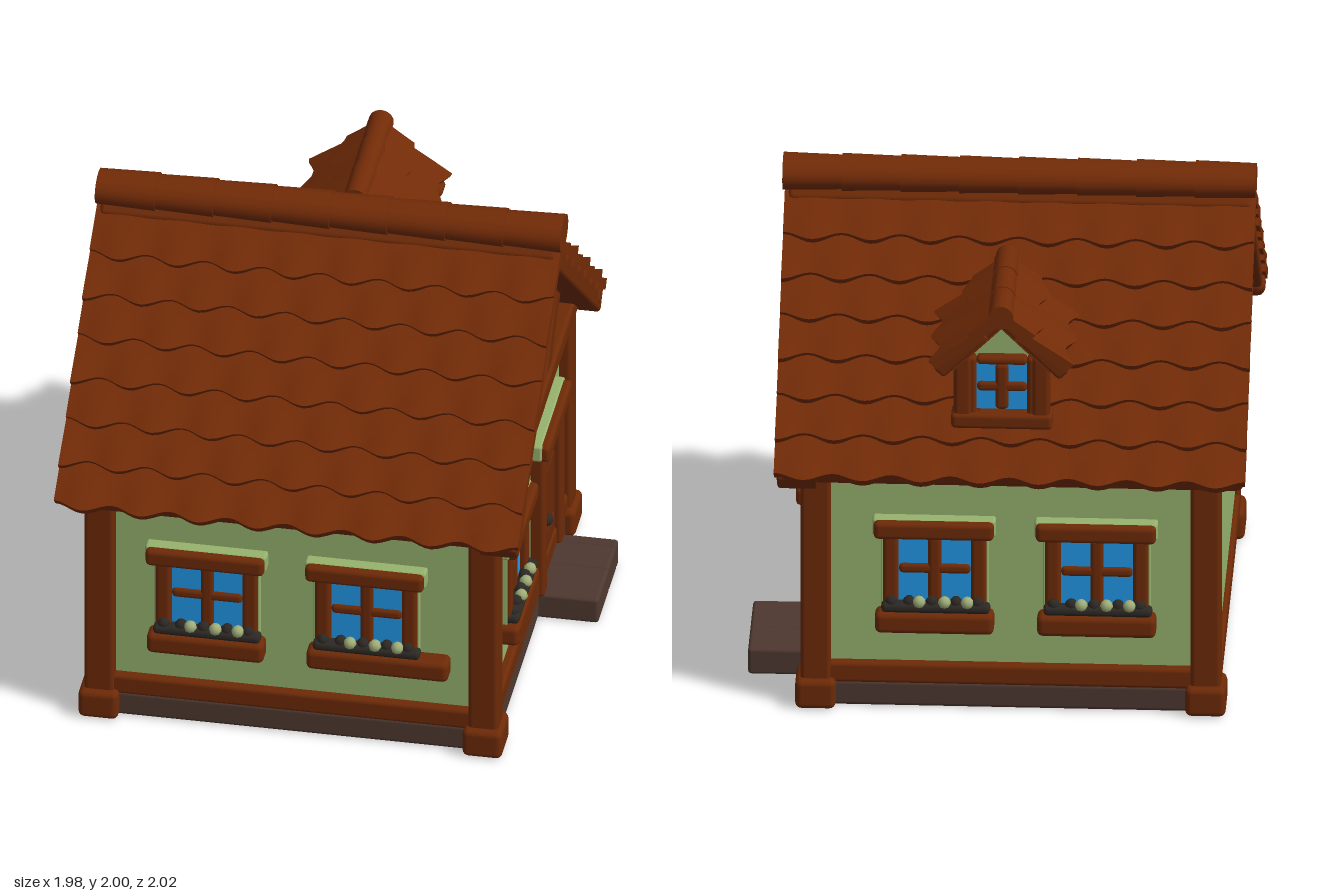
import * as THREE from 'three';
import { toCreasedNormals } from 'three/addons/utils/BufferGeometryUtils.js';
import { RoundedBoxGeometry } from 'three/addons/geometries/RoundedBoxGeometry.js';

const mat = (name, color) => {
  const m = new THREE.MeshStandardMaterial({ color });
  m.name = name;
  return m;
};

export function createModel() {
  const roofTile = mat('roof tile', 0x722b07);
  const wood = mat('timber', 0x6d2a07);
  const doorWood = mat('door wood', 0x682808);
  const plaster = mat('green plaster', 0x96b26e);
  const stone = mat('stone', 0x4e3830);
  const glass = mat('glass', 0x239ef0);
  const dark = mat('dark leaves and iron', 0x2c2824);
  const pale = mat('pale blossom', 0xa0ae78);

  const house = new THREE.Group();
  house.name = 'cottage';

  const add = (parent, name, geo, material, x = 0, y = 0, z = 0) => {
    const m = new THREE.Mesh(geo, material);
    m.name = name;
    m.position.set(x, y, z);
    parent.add(m);
    return m;
  };
  const group = (parent, name, x = 0, y = 0, z = 0, ry = 0) => {
    const g = new THREE.Group();
    g.name = name;
    g.position.set(x, y, z);
    g.rotation.y = ry;
    parent.add(g);
    return g;
  };
  // Softly rounded block given by its limits on each axis
  const block = (parent, name, material, x0, x1, y0, y1, z0, z1, r = 0.018) => {
    const s = [x1 - x0, y1 - y0, z1 - z0];
    const geo = new RoundedBoxGeometry(...s, 2, Math.min(r, Math.min(...s) * 0.45));
    return add(parent, name, geo, material, (x0 + x1) / 2, (y0 + y1) / 2, (z0 + z1) / 2);
  };
  // Beam between two points in the local xy plane
  const beam = (parent, name, a, b, width, z0, z1) => {
    const len = Math.hypot(b[0] - a[0], b[1] - a[1]);
    const m = add(parent, name, new RoundedBoxGeometry(len, width, z1 - z0, 2, 0.016), wood,
      (a[0] + b[0]) / 2, (a[1] + b[1]) / 2, (z0 + z1) / 2);
    m.rotation.z = Math.atan2(b[1] - a[1], b[0] - a[0]);
    return m;
  };
  // Lintel with a plastered back that shows at its ends
  const lintel = (parent, name, x0, x1, y0, y1) => {
    block(parent, name, wood, x0, x1, y0, y1, 0.03, 0.08, 0.02);
    block(parent, name + 'Back', plaster, x0 - 0.006, x1 + 0.006, y0 + 0.005, y1 + 0.004, -0.01, 0.05, 0.012);
  };
  const prism = (pts, depth) => new THREE.ExtrudeGeometry(
    new THREE.Shape(pts.map(p => new THREE.Vector2(...p))), { depth, bevelEnabled: false });

  // Walls and footing
  const walls = add(house, 'walls', prism(
    [[-0.81, 0.05], [0.81, 0.05], [0.81, 1.08], [0, 1.8], [-0.81, 1.08]], 1.59), plaster, -0.87);
  walls.rotation.y = Math.PI / 2;
  block(house, 'foundation', stone, -0.88, 0.75, 0, 0.11, -0.84, 0.84);

  // Corner posts with blocks at their feet
  for (const x of [-0.83, 0.71]) for (const z of [-0.8, 0.8]) {
    block(house, 'cornerPost', wood, x - 0.06, x + 0.06, 0.08, 1.08, z - 0.06, z + 0.06);
    block(house, 'postFoot', wood, x - 0.08, x + 0.08, 0, 0.125, z - 0.09, z + 0.09, 0.025);
  }
  // Sill beams and wall plates
  for (const z of [-0.81, 0.81]) {
    block(house, 'sillBeam', wood, -0.83, 0.71, 0.1, 0.19, z - 0.035, z + 0.035);
    block(house, 'wallPlate', wood, -0.87, 0.75, 0.98, 1.07, z - 0.04, z + 0.04);
  }
  for (const x of [-0.86, 0.725]) block(house, 'sillBeam', wood, x - 0.03, x + 0.03, 0.1, 0.19, -0.8, 0.8);

  // Panes, frame and crossing bars around the local origin
  const casement = (g, w, h, bar) => {
    add(g, 'glass', new THREE.BoxGeometry(w, h, 0.008), glass, 0, 0, 0.016);
    for (const s of [-1, 1]) {
      const x = s * (w / 2 + bar / 2), y = s * (h / 2 + bar / 2);
      block(g, 'frameSide', wood, x - bar / 2, x + bar / 2, -h / 2 - bar, h / 2 + bar, -0.01, 0.05);
      block(g, 'frameRail', wood, -w / 2, w / 2, y - bar / 2, y + bar / 2, -0.01, 0.045);
    }
    block(g, 'mullion', wood, -0.027, 0.027, -h / 2, h / 2, -0.01, 0.035);
    block(g, 'crossbar', wood, -w / 2, w / 2, -0.022, 0.022, -0.01, 0.033);
  };

  // Ground floor window with lintel, sill and flowers
  const addWindow = (x, z, ry, sillExtra = 0) => {
    const g = group(house, 'window', x, 0.605, z, ry);
    casement(g, 0.285, 0.285, 0.063);
    lintel(g, 'lintel', -0.24, 0.235, 0.145, 0.22);
    for (const s of [-0.207, 0.207])
      block(g, 'frameEdge', plaster, s - 0.005, s + 0.005, -0.18, 0.15, -0.01, 0.035, 0.004);
    block(g, 'windowSill', wood, -0.235, 0.235 + sillExtra, -0.265, -0.175, -0.01, 0.085, 0.024);
    block(g, 'leaves', dark, -0.21, 0.22, -0.175, -0.135, 0.02, 0.08);
    [-0.17, -0.1, -0.01, 0.085, 0.17].forEach(fx => {
      add(g, 'leafTuft', new THREE.SphereGeometry(0.025, 8, 6), dark, fx, -0.133, 0.05);
    });
    [-0.06, 0.04, 0.13].forEach(fx => {
      add(g, 'blossom', new THREE.SphereGeometry(0.026, 8, 6), pale, fx, -0.13, 0.063);
    });
  };
  for (const side of [1, -1]) {
    const ry = side > 0 ? 0 : Math.PI;
    addWindow(-0.4, side * 0.81, ry);
    addWindow(0.24, side * 0.81, ry, side > 0 ? 0.1 : 0);
  }
  addWindow(0.72, -0 + 0.355, Math.PI / 2);

  // Timbered end with door and round window; local x runs towards the back
  const end = group(house, 'timberedEnd', 0.72, 0, 0, Math.PI / 2);
  block(end, 'tieBeam', wood, -0.84, 0.84, 1.005, 1.09, -0.02, 0.06);
  block(end, 'kingPostTop', wood, -0.042, 0.042, 1.5, 1.84, -0.02, 0.045);
  block(end, 'kingPostBottom', wood, -0.042, 0.042, 1.07, 1.2, -0.02, 0.045);
  for (const s of [-1, 1]) {
    beam(end, 'brace', [s * 0.56, 1.37], [s * 0.25, 1.045], 0.105, -0.02, 0.045);
    beam(end, 'bargeBoard', [s * 0.925, 1.005], [0, 1.815], 0.105, -0.02, 0.14);
  }
  // Grey lining under the front barge board
  beam(end, 'bargeLining', [-0.77, 1.075], [-0.08, 1.679], 0.012, 0, 0.12).material = stone;
  const round = group(end, 'roundWindow', 0, 1.345, 0);
  const disc = add(round, 'roundGlass', new THREE.CylinderGeometry(0.14, 0.14, 0.008, 32), glass, 0, 0, 0.016);
  disc.rotation.x = Math.PI / 2;
  add(round, 'roundFrame', new THREE.TorusGeometry(0.164, 0.036, 10, 36), wood, 0, 0, 0.02);
  block(round, 'roundMullion', wood, -0.024, 0.024, -0.14, 0.14, 0, 0.035);
  block(round, 'roundCrossbar', wood, -0.14, 0.14, -0.024, 0.024, 0, 0.035);

  // Door and doorstep
  const door = group(end, 'door');
  block(door, 'doorRecess', stone, 0.19, 0.515, 0.1, 0.77, -0.01, 0.012, 0.005);
  for (const [y0, y1] of [[0.125, 0.272], [0.275, 0.562], [0.565, 0.725]])
    block(door, 'doorBoard', doorWood, 0.205, 0.5, y0, y1, 0, 0.027, 0.006);
  block(door, 'doorJamb', wood, 0.125, 0.2, 0.1, 0.77, -0.01, 0.055);
  block(door, 'doorJamb', wood, 0.505, 0.58, 0.1, 0.77, -0.01, 0.055);
  lintel(door, 'doorLintel', 0.105, 0.61, 0.755, 0.83);
  add(door, 'doorKnob', new THREE.SphereGeometry(0.027, 12, 8), dark, 0.225, 0.41, 0.045);
  block(door, 'bracket', pale, 0.585, 0.625, 0.375, 0.43, -0.01, 0.04, 0.01);
  for (const [a, b] of [[0.135, 0.37], [0.365, 0.53], [0.525, 0.58]])
    block(door, 'doorstep', stone, a, b, 0, 0.112, -0.02, 0.27, 0.014);

  // Scalloped course of tiles; local z runs down the slope and y points out
  const tileRow = (parent, width, start, stop, period, phase, x = 0) => {
    const geo = new THREE.BoxGeometry(width, 0.045, 1, Math.round(width / period) * 10, 1, 5);
    const p = geo.attributes.position;
    for (let i = 0; i < p.count; i++) {
      const t = p.getZ(i) + 0.5;
      const lobe = 0.5 - 0.5 * Math.cos(2 * Math.PI * ((p.getX(i) + width / 2) / period + phase));
      p.setY(i, p.getY(i) - 0.05 + t * (0.028 + 0.018 * lobe));
      p.setZ(i, start + (stop - start) * t + 0.036 * (lobe - 0.5) * t * t);
    }
    add(parent, 'tileRow', toCreasedNormals(geo, 0.7), roofTile, x);
  };

  // Main roof, one slope per side
  const pitch = Math.atan(0.875);
  for (const ry of [0, Math.PI]) {
    const side = group(house, 'roofSide', -0.06, 1.925, 0, ry);
    const slope = group(side, 'roofSlope');
    slope.rotation.x = pitch;
    block(slope, 'roofDeck', wood, -0.915, 0.915, -0.11, -0.04, 0.0, 1.27, 0.02);
    block(slope, 'eaveRoll', roofTile, -0.925, 0.925, -0.125, -0.03, 1.17, 1.285, 0.035);
    for (let i = 0; i < 7; i++)
      tileRow(slope, 1.86, 0.05 + 0.172 * i, 0.275 + 0.172 * i, 0.2325, (i % 2) * 0.5);
  }
  // Ridge made of overlapping round caps
  const ridge = group(house, 'ridge');
  for (let i = 0; i < 8; i++) {
    const cap = new THREE.CylinderGeometry(0.083, 0.091, 0.24, 20);
    cap.rotateZ(Math.PI / 2);
    cap.scale(1, 0.78, 1);
    add(ridge, 'ridgeCap', cap, roofTile, -0.87 + 0.2325 * i, 1.93, 0);
  }

  // Dormer on the back slope; its local z points to the back
  const dormer = group(house, 'dormer', -0.025, 0, 0, Math.PI);
  add(dormer, 'dormerWalls', prism(
    [[-0.16, 1.18], [0.16, 1.18], [0.16, 1.54], [0, 1.7], [-0.16, 1.54]], 0.33), plaster, 0, 0, 0.47);
  const light = group(dormer, 'dormerWindow', 0, 1.405, 0.8);
  casement(light, 0.2, 0.2, 0.035);
  block(dormer, 'dormerSill', wood, -0.2, 0.2, 1.235, 1.3, 0.76, 0.87);
  for (const s of [-1, 1]) {
    block(dormer, 'dormerPost', wood, s * 0.155 - 0.035, s * 0.155 + 0.035, 1.24, 1.55, 0.78, 0.86);
    beam(dormer, 'dormerBargeBoard', [s * 0.25, 1.485], [0, 1.73], 0.06, 0.8, 0.89);
    const side = group(dormer, 'dormerRoofSide', 0, 1.805, 0.64, s * Math.PI / 2);
    const slope = group(side, 'dormerSlope');
    slope.rotation.x = Math.PI / 4;
    // local x runs along the ridge, mirrored from side to side
    tileRow(slope, 0.53, 0, 0.21, 0.265, 0);
    tileRow(slope, 0.46, 0.15, 0.37, 0.23, 0.5, -s * 0.033);
    add(slope, 'dormerDeck', new THREE.BoxGeometry(0.44, 0.05, 0.33), roofTile, -s * 0.025, -0.06, 0.185);
  }
  for (let i = 0; i < 3; i++) {
    const cap = new THREE.CylinderGeometry(0.05, 0.046, 0.2, 14);
    cap.rotateX(Math.PI / 2);
    add(dormer, 'dormerRidgeCap', cap, roofTile, 0, 1.75, 0.45 + 0.185 * i);
  }
  return house;
}
